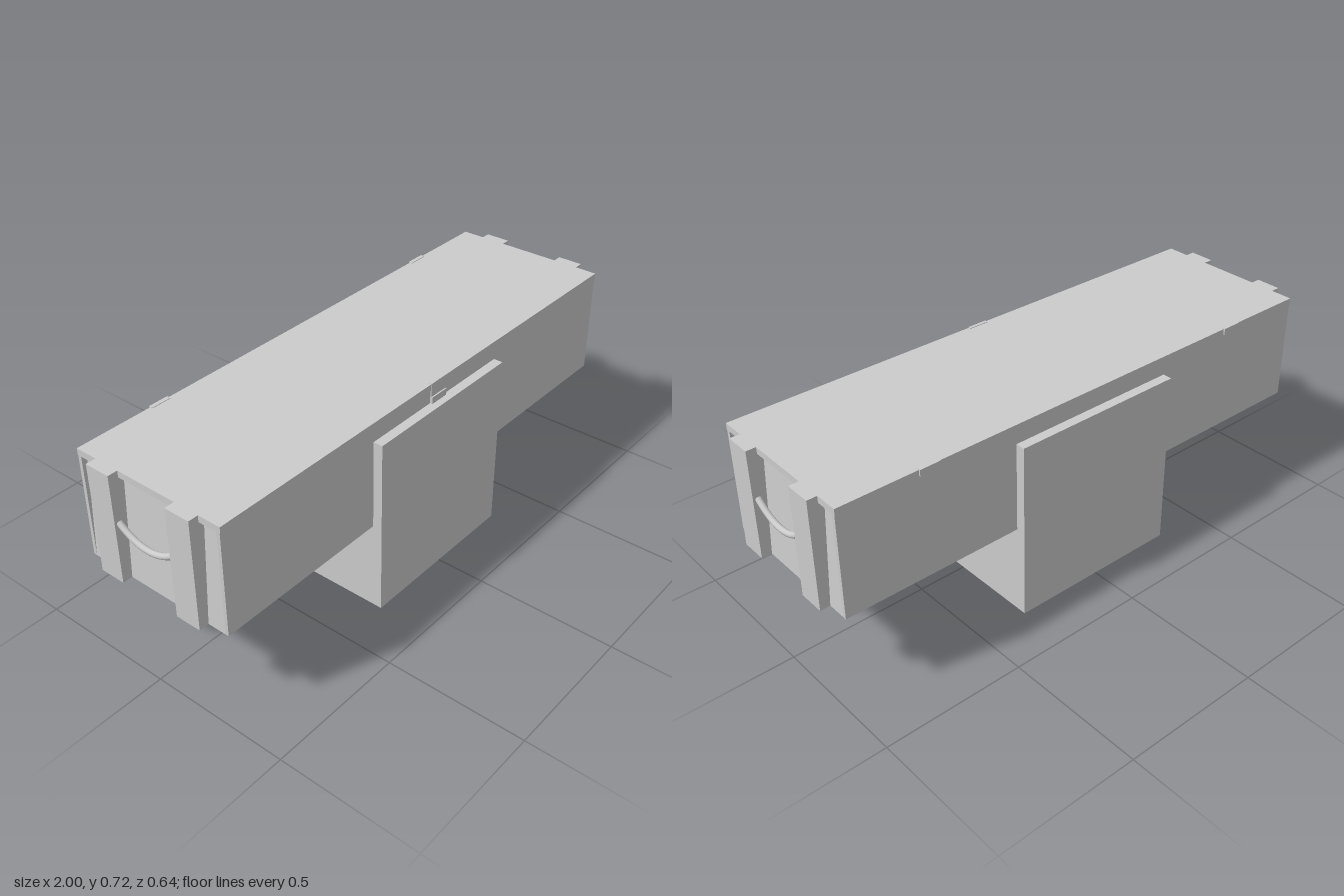
import * as THREE from 'three';

const material = new THREE.MeshStandardMaterial({ color: 0xcccccc });

function add(parent, name, geometry, x = 0, y = 0, z = 0) {
  const mesh = new THREE.Mesh(geometry, material);
  mesh.name = name;
  mesh.position.set(x, y, z);
  parent.add(mesh);
  return mesh;
}

// Box given by its minimum and maximum corners
function block(parent, name, [x0, y0, z0], [x1, y1, z1]) {
  return add(parent, name, new THREE.BoxGeometry(x1 - x0, y1 - y0, z1 - z0),
    (x0 + x1) / 2, (y0 + y1) / 2, (z0 + z1) / 2);
}

export function createModel() {
  const model = new THREE.Group();
  model.name = 'chestOnPedestal';

  const bottom = 0.325, lidBottom = 0.692, top = 0.715;
  const halfX = 0.965, halfZ = 0.288, rim = 0.013;

  // Pedestal
  block(model, 'pedestal', [-0.32, 0, -0.322], [0.32, 0.645, 0.322]);

  // Chest body: end panels lean inward towards the lid
  const panels = new THREE.Shape([
    new THREE.Vector2(-halfX, bottom),
    new THREE.Vector2(halfX, bottom),
    new THREE.Vector2(halfX - 0.02, lidBottom),
    new THREE.Vector2(-halfX + 0.02, lidBottom),
  ]);
  const depth = 2 * (halfZ - rim);
  const body = new THREE.ExtrudeGeometry(panels, { depth, bevelEnabled: false });
  add(model, 'chestBody', body, 0, 0, -depth / 2);

  // Front and back walls
  for (const s of [-1, 1]) {
    const z = s * (halfZ - rim / 2);
    block(model, s > 0 ? 'frontWall' : 'backWall',
      [-halfX, bottom, z - rim / 2], [halfX, lidBottom, z + rim / 2]);
  }

  // Lid
  block(model, 'lid', [-halfX, lidBottom, -0.29], [halfX, top, 0.29]);

  // Battens and rope handle at each end
  for (const s of [-1, 1]) {
    const end = new THREE.Group();
    end.name = s > 0 ? 'leftEnd' : 'rightEnd';
    for (const t of [-1, 1]) {
      const z = t * 0.1615;
      block(end, 'batten', [0.94, bottom, z - 0.0465], [1, top, z + 0.0465]);
    }
    const arc = new THREE.QuadraticBezierCurve3(
      new THREE.Vector3(0.982, 0.541, 0.118),
      new THREE.Vector3(0.982, 0.449, 0),
      new THREE.Vector3(0.982, 0.541, -0.118));
    add(end, 'ropeHandle', new THREE.TubeGeometry(arc, 24, 0.0105, 10));
    if (s < 0) end.rotation.y = Math.PI;
    model.add(end);
  }

  // Front clasp and back hinges
  block(model, 'clasp', [-0.037, 0.645, 0.28], [0.037, 0.669, 0.297]);
  block(model, 'claspPlate', [-0.037, 0.669, 0.28], [0.037, top + 0.002, 0.292]);
  for (const x of [-0.645, 0.645]) {
    block(model, 'hinge', [x - 0.037, 0.694, -0.295], [x + 0.037, top + 0.002, -0.28]);
  }
  return model;
}
